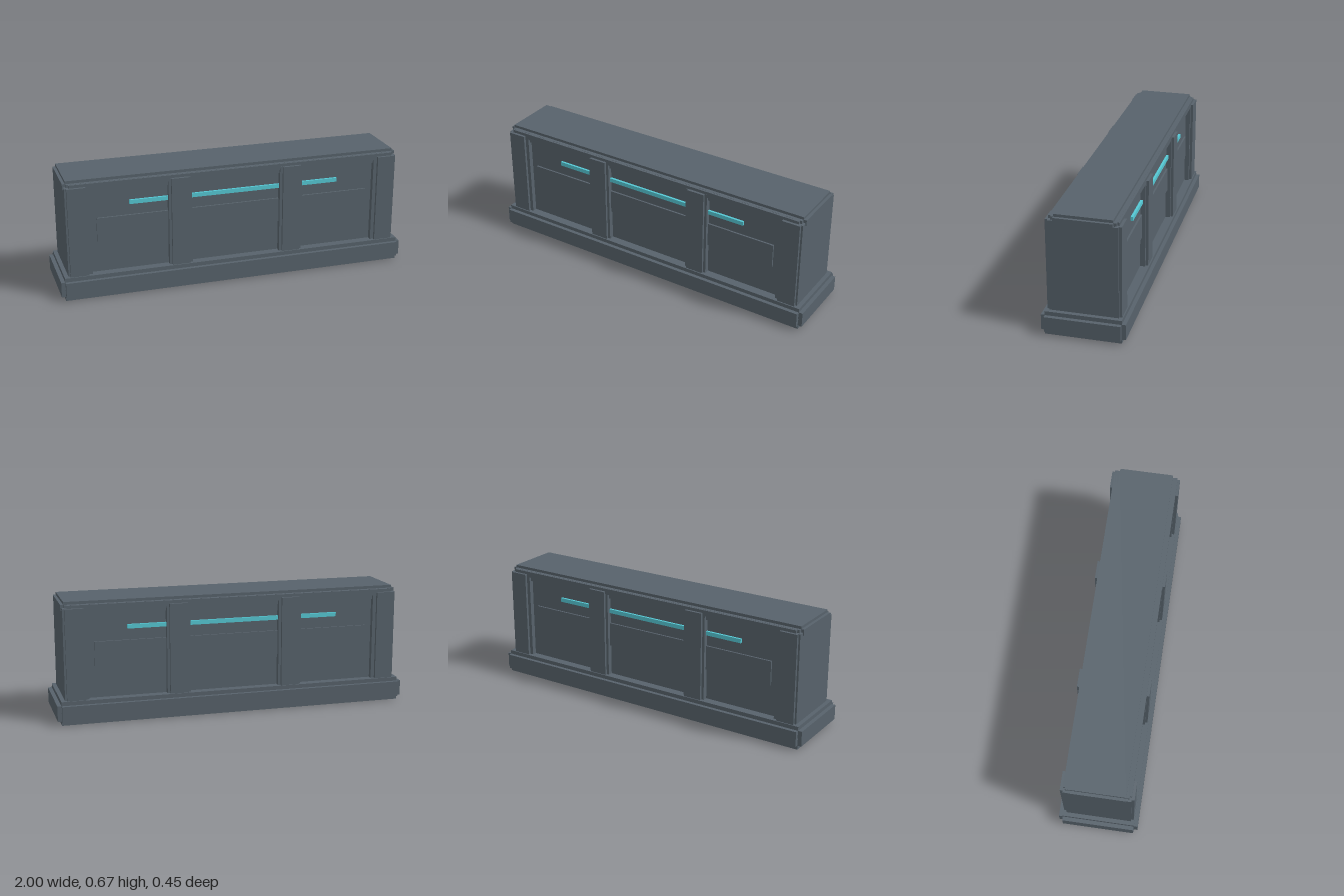
import * as THREE from 'three';

export function createModel() {
  const model = new THREE.Group();
  const slate = new THREE.MeshStandardMaterial({ color: 0x57626b });
  slate.name = 'slate grey';
  const cyan = new THREE.MeshStandardMaterial({ color: 0x55c8d4 });
  cyan.name = 'glowing cyan';

  // Box centred on z = 0, given by x range, y range and half depth
  function block(name, x0, x1, y0, y1, halfZ, material = slate) {
    const mesh = new THREE.Mesh(new THREE.BoxGeometry(x1 - x0, y1 - y0, halfZ * 2), material);
    mesh.position.set((x0 + x1) / 2, (y0 + y1) / 2, 0);
    mesh.name = name;
    model.add(mesh);
  }

  // Stepped plinth with a raised band on all four sides
  block('plinth', -0.978, 0.978, 0, 0.132, 0.203);
  block('plinthLongBand', -0.977, 0.977, 0.023, 0.11, 0.224);
  block('plinthEndBand', -1, 1, 0.0235, 0.1095, 0.202);

  // Recessed body
  block('body', -0.94, 0.94, 0.13, 0.64, 0.155);

  // Top slab and stepped cornice
  block('topSlab', -0.944, 0.944, 0.6, 0.67, 0.153);
  block('endCornice', -0.96, 0.96, 0.622, 0.655, 0.1525);
  block('lowerCornice', -0.942, 0.942, 0.597, 0.6545, 0.17);
  block('upperCornice', -0.93, 0.93, 0.62, 0.654, 0.182);

  // Raised panel and light strip, running through to both faces
  block('raisedPanel', -0.785, 0.785, 0.308, 0.445, 0.165);
  block('lightStrip', -0.602, 0.602, 0.508, 0.531, 0.168, cyan);

  // Pilasters with a proud centre face
  for (const side of [-1, 1]) {
    const mirrored = (name, a, b, y1, halfZ) =>
      block(name, Math.min(side * a, side * b), Math.max(side * a, side * b), 0.13, y1, halfZ);
    mirrored('endPilaster', 0.822, 0.955, 0.637, 0.182);
    mirrored('endPilasterFace', 0.842, 0.945, 0.6375, 0.197);
    mirrored('innerPilaster', 0.255, 0.387, 0.637, 0.183);
    mirrored('innerPilasterFace', 0.27, 0.373, 0.6375, 0.197);
  }
  return model;
}
